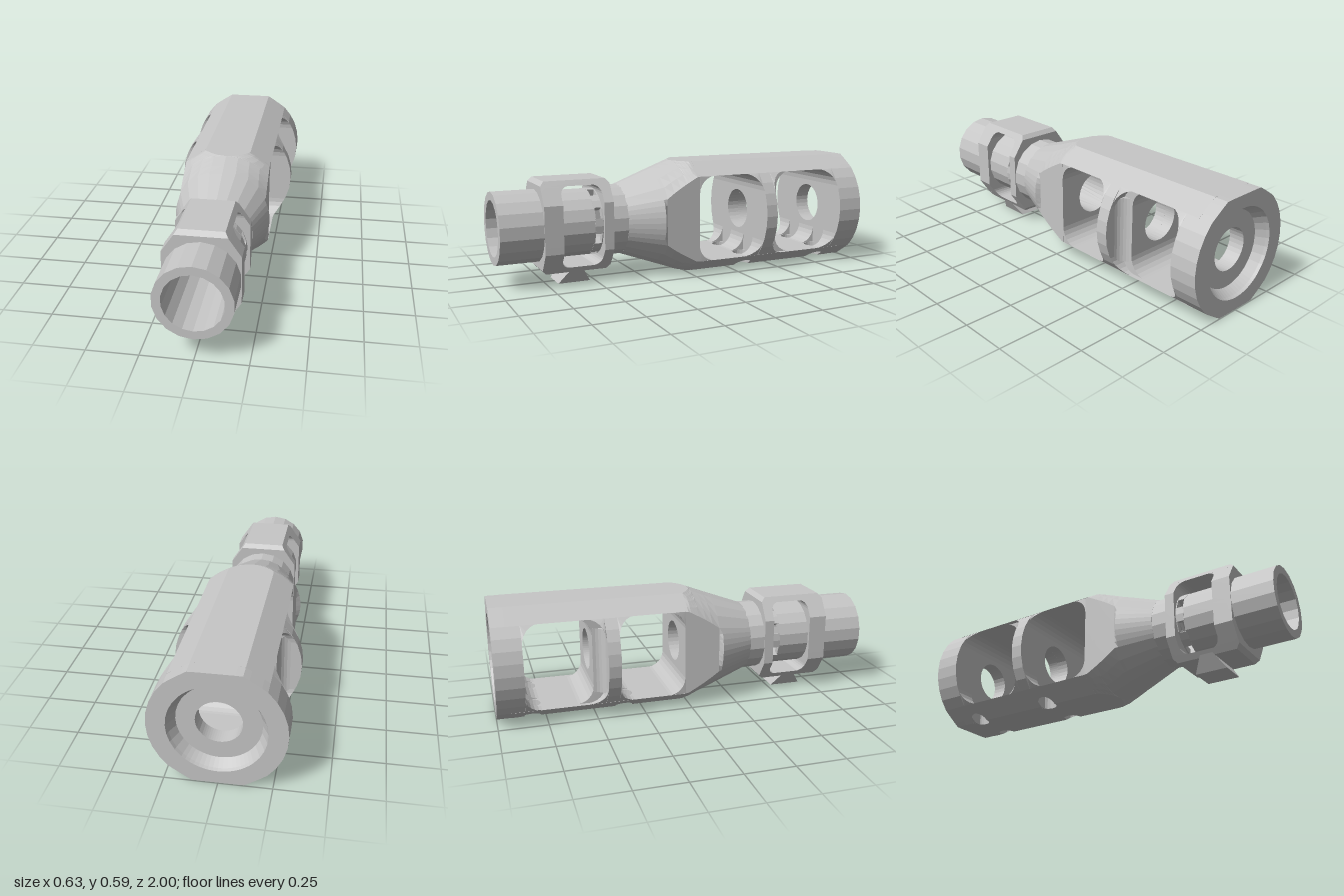
import * as THREE from 'three';

const AXIS = 0.2975; // height of the bore axis
const D = Math.PI / 180;
const metal = new THREE.MeshStandardMaterial({ color: 0xc6c6c6 });
metal.name = 'light grey metal';

// Angles around a section, with corners at a1 and a2 mirrored into all quarters
function spread(a1, a2) {
  const q = [];
  for (const [from, to] of [[0, a1], [a1, a2], [a2, 90]])
    for (let i = 0; i < 4; i++) q.push(from + (to - from) * i / 4);
  const back = [90, ...q.slice(1).reverse()];
  return [...q, ...back.map(a => 180 - a), ...q.map(a => 180 + a), ...back.map(a => 360 - a)].map(a => a * D);
}
const BODY_ANGLES = spread(45, 67.8);
const TUBE_ANGLES = Array.from({ length: 18 }, (_, i) => (10 + i * 20) * D);

// Radius at angle a of a circle cut by mirrored flats [normal angle, distance]
const cut = (radius, flats) => a => {
  const x = Math.abs(Math.cos(a)), y = Math.abs(Math.sin(a));
  let r = radius;
  for (const [deg, d] of flats) {
    const c = x * Math.cos(deg * D) + y * Math.sin(deg * D);
    if (c > 1e-6) r = Math.min(r, d / c);
  }
  return r;
};

// Hollow solid from a closed run of [z, radius] stations: outside forward, inside back
function ring(stations, anglesAt) {
  const pos = [], idx = [], m = stations.length, n = anglesAt(0).length;
  for (const [z, r] of stations)
    for (const a of anglesAt(z)) {
      const q = typeof r === 'number' ? r : r(a);
      pos.push(q * Math.cos(a), q * Math.sin(a), z);
    }
  for (let i = 0; i < m; i++)
    for (let j = 0; j < n; j++) {
      const k = (i + 1) % m, l = (j + 1) % n;
      idx.push(i * n + j, i * n + l, k * n + l, i * n + j, k * n + l, k * n + j);
    }
  const g = new THREE.BufferGeometry();
  g.setAttribute('position', new THREE.Float32BufferAttribute(pos, 3));
  g.setIndex(idx);
  return g;
}

const extrude = (pts, depth) => new THREE.ExtrudeGeometry(
  new THREE.Shape(pts.map(p => new THREE.Vector2(...p))), { depth, bevelEnabled: false });

// (x, y) outline pushed along z
const prismZ = (pts, z0, z1) => extrude(pts, z1 - z0).translate(0, 0, z0);

// (x, z) outline pushed along y; the underside may depend on x
function prismY(pts, low, high) {
  const g = extrude(pts.map(([x, z]) => [x, -z]), 1).rotateX(-Math.PI / 2);
  const p = g.attributes.position;
  for (let i = 0; i < p.count; i++)
    p.setY(i, p.getY(i) > 0.5 ? high : low(Math.abs(p.getX(i))));
  return g;
}

// (z, y) outline pushed along x between two limits that may depend on y
function prismX(pts, right, left = y => -right(y)) {
  const g = extrude(pts, 1).rotateY(-Math.PI / 2).translate(0.5, 0, 0);
  const p = g.attributes.position;
  for (let i = 0; i < p.count; i++)
    p.setX(i, (p.getX(i) > 0 ? right : left)(Math.abs(p.getY(i))));
  return g;
}

// Outline of a concave fillet in the corner of a window
function fillet(z, dir, sy, edge, r) {
  const pts = [[z, sy * edge]];
  for (let i = 0; i <= 6; i++) {
    const t = i * 15 * D;
    pts.push([z + dir * r * (1 - Math.sin(t)), sy * (edge - r + r * Math.cos(t))]);
  }
  return pts;
}

export function createModel() {
  const model = new THREE.Group();
  const add = (name, geo) => {
    const g = geo.index ? geo.toNonIndexed() : geo;
    g.computeVertexNormals();
    const mesh = new THREE.Mesh(g, metal);
    mesh.name = name;
    mesh.position.y = AXIS;
    model.add(mesh);
  };

  // Main body sections
  const BORE = 0.108, R = 0.317, TOP = 0.2945;
  const flats = [[90, TOP], [56.5, 0.3118]];
  const body = cut(R, flats), bodyAngles = () => BODY_ANGLES;
  add('rearRing', ring([[-1, body], [-0.86, body], [-0.86, BORE], [-0.94, BORE],
    [-0.94, 0.196], [-0.985, 0.222], [-1, 0.228]], bodyAngles));
  add('middleBaffle', ring([[-0.45, body], [-0.385, body], [-0.385, BORE], [-0.45, BORE]], bodyAngles));
  const block = cut(1, [[0, 0.2], [90, 0.225]]);
  add('baffleBoss', ring([[-0.51, block], [-0.44, block], [-0.44, BORE], [-0.51, BORE]], () => spread(24, 48.37)));

  // Hollow curves from the baffle rim to its boss
  for (const s of [-1, 1]) {
    const pts = [[s * 0.19, -0.44], [s * 0.26, -0.44]];
    for (let i = 0; i <= 6; i++) {
      const t = i * 15 * D;
      pts.push([s * (0.26 - 0.06 * Math.sin(t)), -0.51 + 0.06 * Math.cos(t)]);
    }
    pts.push([s * 0.19, -0.51]);
    add('baffleFillet', prismY(pts, () => -0.17, 0.17));
  }

  // Tapered shoulder with flat cheeks; section corners follow the edges of the flats
  const cone = z => Math.min(R, R - (z + 0.015) * 0.365);
  const shoulderAngles = z => {
    const r = cone(Math.min(z, 0.155));
    return spread(Math.acos(0.225 / r) / D, Math.asin(Math.min(1, TOP / r)) / D);
  };
  const outer = [-0.03, -0.015, 0, 0.015, 0.03, 0.04, 0.0466, 0.08, 0.115, 0.155]
    .map(z => [z, cut(cone(z), [...flats, [0, 0.225]])]);
  outer.push([0.172, cone(0.172)], [0.35, 0.183]);
  add('taperedShoulder', ring([...outer, [0.35, BORE], [-0.03, BORE]], shoulderAngles));

  // Roof
  const A = -0.93, B = -0.03;
  add('roof', prismZ([[-0.12, TOP], [0.12, TOP], [0.225, 0.225], [-0.225, 0.225]], A, B));

  // Floor in three strips, drilled along its two lower edges
  const holeR = 0.05;
  const drilledEdge = (s, dir) => {
    const pts = [[s * 0.12, A]];
    for (const c of [-0.825, -0.345])
      for (let i = 0; i <= 10; i++) {
        const t = Math.PI * (1 - i / 10);
        pts.push([s * 0.12 + dir * holeR * Math.sin(t), c + holeR * Math.cos(t)]);
      }
    pts.push([s * 0.12, B]);
    return pts;
  };
  const under = x => x <= 0.12 ? -TOP : -TOP + (x - 0.12) * (TOP - 0.225) / 0.105;
  add('floorCentre', prismY([...drilledEdge(-1, 1), ...drilledEdge(1, -1).reverse()], under, -0.225));
  for (const s of [-1, 1])
    add('floorSide', prismY([...drilledEdge(s, s), [s * 0.225, B], [s * 0.225, A]], under, -0.225));

  // Rounded corners of the side windows
  const round = y => Math.sqrt(R * R - y * y);
  const windowEnds = [[-0.03, -1, 0.225], [-0.385, 1, 1], [-0.45, -1, 1], [-0.51, -1, 0.2], [-0.86, 1, 1]];
  for (const sy of [-1, 1])
    for (const [z, dir, limit] of windowEnds) {
      const pts = fillet(z, dir, sy, 0.226, 0.09);
      if (sy > 0 || dir < 0) {
        add('windowFillet', prismX(pts, y => Math.min(limit, round(y))));
        continue;
      }
      // Lower fillets are interrupted by the drilled holes
      add('windowFillet', prismX(pts, () => 0.07));
      add('windowFillet', prismX(pts, round, () => 0.17));
      add('windowFillet', prismX(pts, () => -0.17, y => -round(y)));
    }

  // Front tube with a notched joint
  const tubeAngles = () => TUBE_ANGLES;
  add('neck', ring([[0.34, 0.184], [0.44, 0.184], [0.44, 0.172], [0.485, 0.172], [0.485, 0.142],
    [0.38, 0.142], [0.38, BORE], [0.34, BORE]], tubeAngles));
  add('frontTube', ring([[0.52, 0.172], [0.69, 0.172], [0.69, 0.184], [1, 0.184], [1, 0.142], [0.52, 0.142]], tubeAngles));
  for (let k = 0; k < 8; k++) {
    const pts = [];
    for (const [r, d] of [[0.172, 1], [0.142, -1]])
      for (const a of [-13, 0, 13])
        pts.push([r * Math.cos((k * 45 + d * a) * D), r * Math.sin((k * 45 + d * a) * D)]);
    add('jointTooth', prismZ(pts, 0.48, 0.525));
  }

  // Eight-sided collar: two end rings joined above and below
  const sides = [[0, 0.185], [34.3, 0.2204]];
  const full = cut(1, [...sides, [90, 0.2325]]), trimmed = cut(1, [...sides, [90, 0.2105]]);
  const collarAngles = z => spread(33, z > 0.78 || z < 0.44 ? 59.7 : 65.1);
  add('collarFront', ring([[0.69, full], [0.765, full], [0.785, trimmed], [0.785, 0.18], [0.69, 0.18]], collarAngles));
  add('collarRear', ring([[0.43, trimmed], [0.45, full], [0.48, full], [0.48, 0.17], [0.43, 0.17]], collarAngles));
  const collarHalf = y => y < 0.12 ? 0.185 : 0.108 + (0.2325 - y) * 0.682;
  for (const s of [-1, 1]) {
    add('collarBridge', prismZ([[-0.108, s * 0.2325], [0.108, s * 0.2325], [0.127, s * 0.205], [-0.127, s * 0.205]], 0.46, 0.76));
    for (const [z, dir] of [[0.48, 1], [0.69, -1]])
      add('collarFillet', prismX(fillet(z, dir, s, 0.206, 0.045), collarHalf));
  }

  // Flared foot under the collar
  add('foot', prismX([[0.575, -0.22], [0.64, -0.22], [0.692, -AXIS], [0.525, -AXIS]],
    y => 0.07 + (AXIS - y) * 0.6));
  return model;
}
